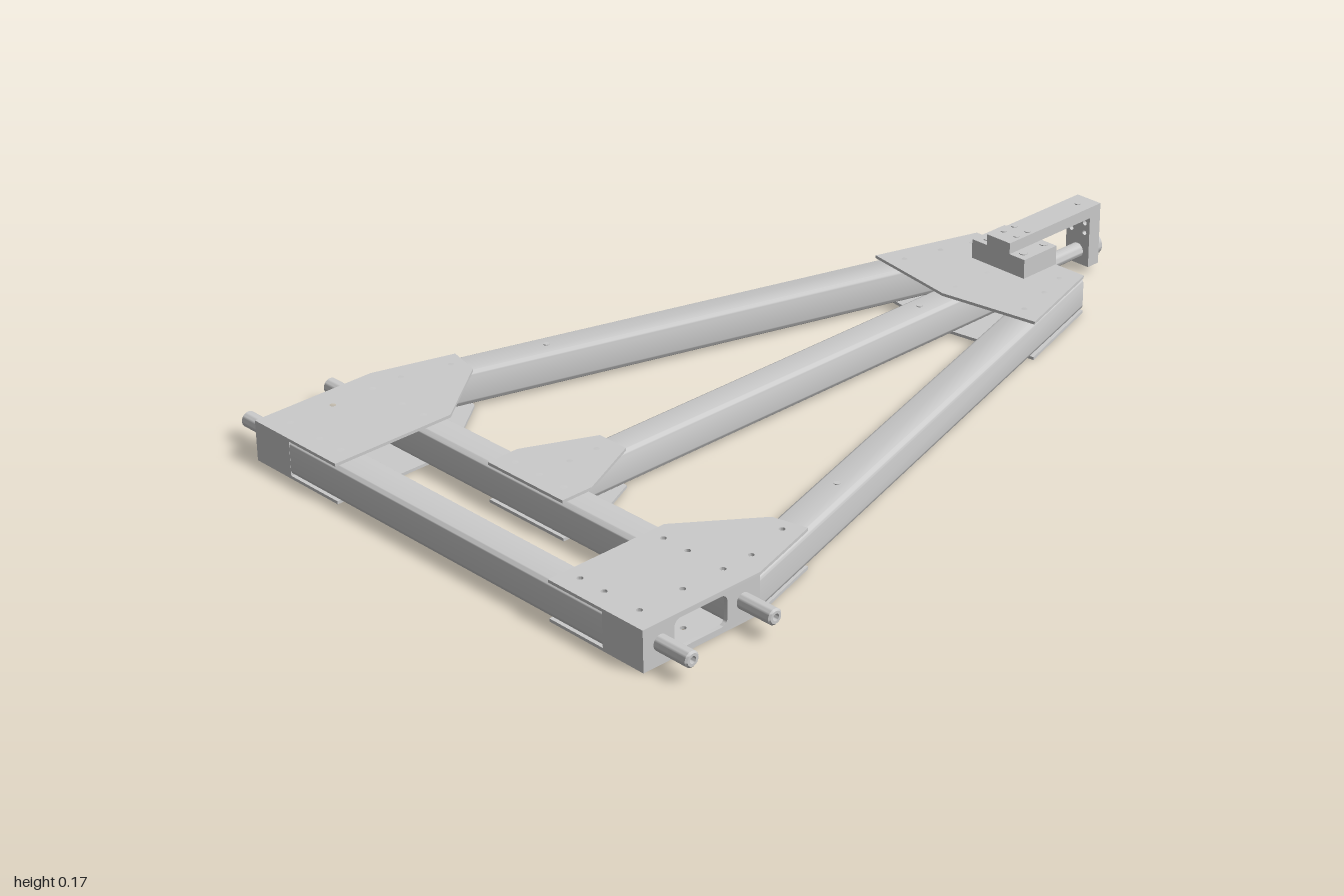
import * as THREE from 'three';
import { toCreasedNormals } from 'three/addons/utils/BufferGeometryUtils.js';

const H = 0.095;          // frame height over both gusset plates
const T = 0.007;          // plate thickness
const SLOPE = 0.298;      // sideways run of the diagonal tubes per unit of z

export function createModel() {
  const model = new THREE.Group();
  const mat = new THREE.MeshStandardMaterial({ color: 0xcccccc });

  function add(name, geo, crease = 0.6) {
    const mesh = new THREE.Mesh(toCreasedNormals(geo, crease), mat);
    mesh.name = name;
    model.add(mesh);
    return mesh;
  }

  function box(name, x0, x1, y0, y1, z0, z1) {
    const g = new THREE.BoxGeometry(x1 - x0, y1 - y0, z1 - z0);
    return add(name, g.translate((x0 + x1) / 2, (y0 + y1) / 2, (z0 + z1) / 2));
  }

  function roundRect(path, x0, y0, x1, y1, r) {
    path.absarc(x1 - r, y0 + r, r, -Math.PI / 2, 0);
    path.absarc(x1 - r, y1 - r, r, 0, Math.PI / 2);
    path.absarc(x0 + r, y1 - r, r, Math.PI / 2, Math.PI);
    path.absarc(x0 + r, y0 + r, r, Math.PI, Math.PI * 1.5);
    path.closePath();
    return path;
  }

  const circle = (x, y, r) => new THREE.Path().absarc(x, y, r, 0, Math.PI * 2, true);

  // Outline with bolt holes, extruded
  function drilled(points, holes, depth, r = 0.007) {
    const shape = new THREE.Shape(points.map(([x, y]) => new THREE.Vector2(x, y)));
    holes.forEach(([x, y]) => shape.holes.push(circle(x, y, r)));
    return new THREE.ExtrudeGeometry(shape, { depth, bevelEnabled: false, curveSegments: 6 });
  }

  // Horizontal plate from points in x and z
  function slab(name, points, holes, y0, y1) {
    const flip = (list) => list.map(([x, z]) => [x, -z]);
    const g = drilled(flip(points), flip(holes), y1 - y0);
    return add(name, g.rotateX(-Math.PI / 2).translate(0, y0, 0));
  }

  // The same gusset on top of and under the frame
  function gussets(name, points, holes) {
    slab(name + 'Top', points, holes, H - T, H);
    slab(name + 'Bottom', points, holes, 0, T);
  }

  // Hollow rounded tube running along z
  function tubeGeometry(width, z0, z1) {
    const w = width / 2, wall = 0.009;
    const shape = roundRect(new THREE.Shape(), -w, T, w, H - T, 0.014);
    shape.holes.push(roundRect(new THREE.Path(), -w + wall, T + wall, w - wall, H - T - wall, 0.007));
    return new THREE.ExtrudeGeometry(shape, { depth: z1 - z0, bevelEnabled: false, curveSegments: 4 })
      .translate(0, 0, z0);
  }

  // Rod along y with a drilled, chamfered tip
  function rodGeometry(length, r) {
    const pts = [[0, 0], [r, 0], [r, length - 0.004], [r - 0.004, length],
      [r * 0.45, length], [r * 0.45, length - 0.03], [0, length - 0.03]];
    return new THREE.LatheGeometry(pts.map(([x, y]) => new THREE.Vector2(x, y)), 24);
  }

  // Flat bolt mark on an upper surface
  function bolt(x, y, z, r = 0.007) {
    add('bolt', new THREE.CylinderGeometry(r, r, 0.004, 10).translate(x, y, z));
  }

  // Cross tubes and centre spine
  add('frontCrossTube', tubeGeometry(0.085, -0.592, 0.592).rotateY(Math.PI / 2).translate(0, 0, 0.957));
  add('rearCrossTube', tubeGeometry(0.08, -0.592, 0.592).rotateY(Math.PI / 2).translate(0, 0, 0.732));
  add('centreTube', tubeGeometry(0.08, -0.765, 0.695));
  bolt(0, H - T, -0.4);

  for (const s of [1, -1]) {
    // Diagonal tube, sheared so both ends are cut square to the frame
    const diagonal = tubeGeometry(0.089, -0.77, 0.69);
    const p = diagonal.attributes.position;
    for (let i = 0; i < p.count; i++) {
      p.setX(i, p.getX(i) + s * (0.5555 + SLOPE * (p.getZ(i) - 0.69)));
    }
    add('diagonalTube', diagonal);
    bolt(s * 0.447, H - T, 0.32);

    // Corner gussets
    const mirror = (list) => list.map(([x, z]) => [s * x, z]);
    gussets('cornerPlate',
      mirror([[0.33, 1], [0.6, 1], [0.6, 0.69], [0.543, 0.5], [0.46, 0.52], [0.33, 0.692]]),
      mirror([[0.54, 0.655], [0.54, 0.732], [0.54, 0.84], [0.54, 0.953], [0.44, 0.732],
        [0.37, 0.732], [0.44, 0.953], [0.37, 0.953], [0.51, 0.54]]));

    // Slotted end plate, full height
    const end = new THREE.Shape([[-1, 0], [-0.69, 0], [-0.69, H], [-1, H]].map(([a, b]) => new THREE.Vector2(a, b)));
    end.holes.push(roundRect(new THREE.Path(), -0.918, 0.014, -0.778, H - 0.012, 0.016));
    const endGeo = new THREE.ExtrudeGeometry(end, { depth: 0.01, bevelEnabled: false, curveSegments: 5 });
    add('endPlate', endGeo.rotateY(Math.PI / 2).translate(s * 0.595 - 0.005, 0, 0));

    // Front face and inner wall closing the corner box
    const [a, b] = s > 0 ? [0.485, 0.599] : [-0.599, -0.485];
    box('cornerFront', a, b, 0.001, H - 0.001, 0.992, 1);
    box('cornerInnerWall', s * 0.49 - 0.005, s * 0.49 + 0.005, T, H - T, 0.77, 0.916);

    // Side pins
    for (const z of [0.735, 0.955]) {
      add('sidePin', rodGeometry(0.15, 0.018).rotateZ(-s * Math.PI / 2).translate(s * 0.54, 0.05, z));
    }
  }

  // Gussets on the centre spine and at the narrow end
  gussets('centrePlate',
    [[-0.04, 0.53], [0.04, 0.53], [0.115, 0.692], [0.115, 0.772], [-0.115, 0.772], [-0.115, 0.692]],
    [[0, 0.575], [0, 0.65], [0, 0.732], [0.075, 0.732], [-0.075, 0.732]]);
  gussets('rearPlate',
    [[-0.165, -0.77], [0.165, -0.77], [0.245, -0.512], [0.16, -0.499], [0, -0.474], [-0.16, -0.499], [-0.245, -0.512]],
    [[0.135, -0.72], [-0.135, -0.72], [0.16, -0.64], [-0.16, -0.64], [0.185, -0.545], [-0.185, -0.545],
      [0, -0.52], [0, -0.625]]);

  // Clamp bracket: base, overhanging arm and drop leg
  box('bracketBase', -0.08, 0.08, H, 0.142, -0.77, -0.66);
  box('bracketArm', -0.035, 0.035, 0.142, 0.169, -0.975, -0.66);
  const leg = drilled([[-0.035, 0.016], [0.035, 0.016], [0.035, 0.142], [-0.035, 0.142]],
    [[-0.02, 0.1], [0.02, 0.1], [-0.02, 0.125], [0.02, 0.125]], 0.036, 0.006);
  add('bracketLeg', leg.translate(0, 0, -0.975));
  for (const x of [-1, 1]) {
    for (const z of [-0.755, -0.685]) bolt(x * 0.055, 0.142, z, 0.01);
    for (const z of [-0.737, -0.7]) bolt(x * 0.02, 0.169, z, 0.008);
  }
  bolt(0, 0.169, -0.935, 0.008);

  // Rear pin with washer and end nut
  box('pinBlock', -0.036, 0.036, 0.012, 0.083, -0.768, -0.73);
  add('rearPin', new THREE.CylinderGeometry(0.018, 0.018, 0.22, 24).rotateX(Math.PI / 2).translate(0, 0.05, -0.85));
  add('washer', new THREE.CylinderGeometry(0.023, 0.023, 0.009, 24).rotateX(Math.PI / 2).translate(0, 0.05, -0.979));
  add('endNut', rodGeometry(0.018, 0.028).rotateX(-Math.PI / 2).translate(0, 0.05, -0.982));

  return model;
}
